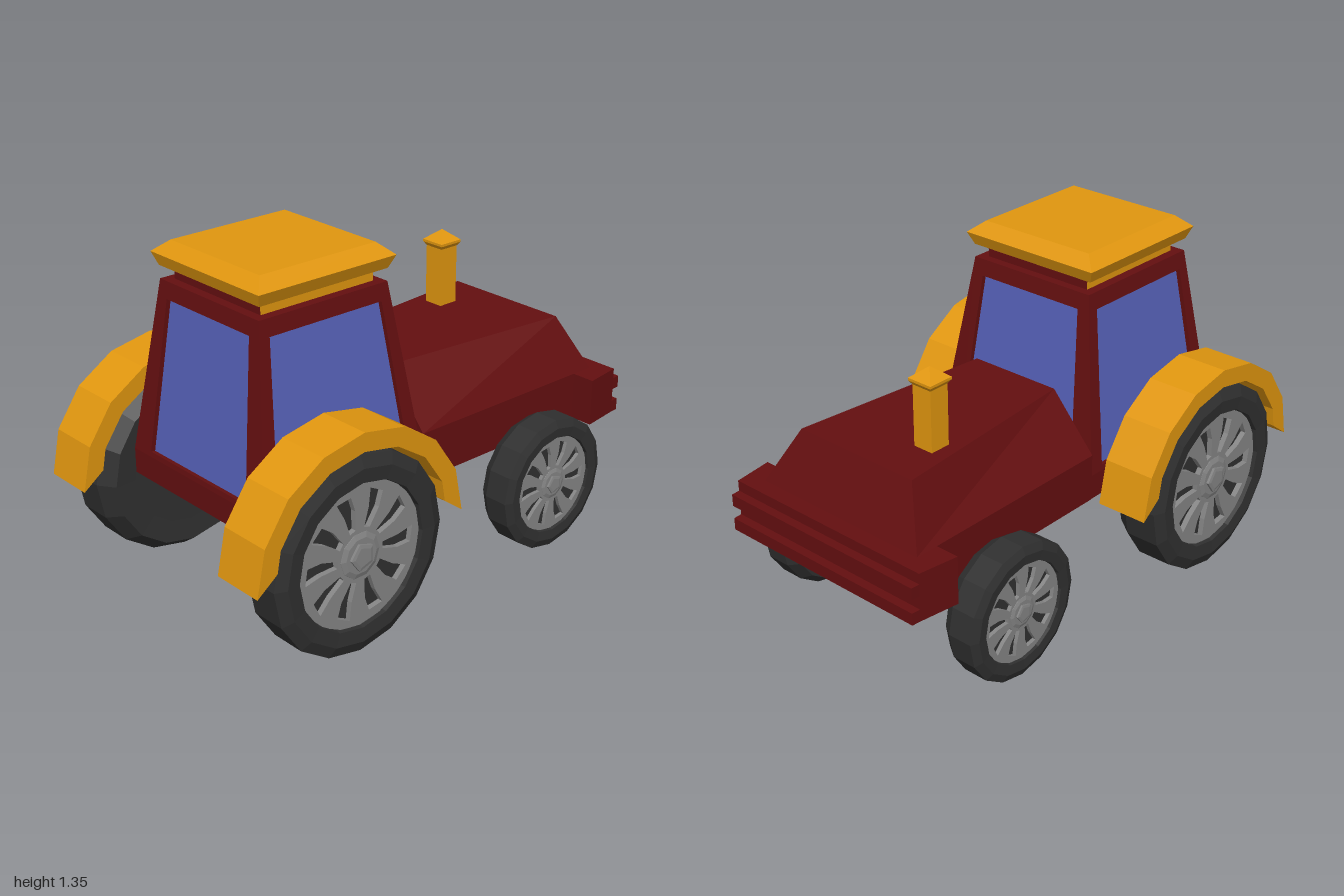
import * as THREE from 'three';

const mat = (name, color) => {
  const m = new THREE.MeshStandardMaterial({ color });
  m.name = name;
  return m;
};

// Faceted normals for low-poly parts
function flat(geo) {
  const g = geo.index ? geo.toNonIndexed() : geo;
  g.computeVertexNormals();
  return g;
}

// Geometry from a list of four-cornered faces
function quads(list) {
  const pos = [];
  for (const [a, b, c, d] of list) for (const p of [a, b, c, a, c, d]) pos.push(p.x, p.y, p.z);
  const g = new THREE.BufferGeometry();
  g.setAttribute('position', new THREE.Float32BufferAttribute(pos, 3));
  g.computeVertexNormals();
  return g;
}

// Ring of corners: half width at back (+z) and front (-z), and z limits
const ring = (y, wBack, zBack, wFront, zFront) => [
  new THREE.Vector3(-wBack, y, zBack), new THREE.Vector3(wBack, y, zBack),
  new THREE.Vector3(wFront, y, zFront), new THREE.Vector3(-wFront, y, zFront),
];

// Solid through stacked rings
function loft(rings) {
  const faces = [[...rings[0]].reverse(), rings[rings.length - 1]];
  for (let k = 0; k + 1 < rings.length; k++) {
    for (let i = 0; i < 4; i++) {
      const j = (i + 1) % 4;
      faces.push([rings[k][i], rings[k][j], rings[k + 1][j], rings[k + 1][i]]);
    }
  }
  return quads(faces);
}

export function createModel() {
  const red = mat('dark red paint', 0x640f10);
  const orange = mat('orange paint', 0xe0960f);
  const glass = mat('blue glass', 0x5560b6);
  const rubber = mat('black rubber', 0x303030);
  const metal = mat('grey metal', 0x858585);

  const root = new THREE.Group();
  root.name = 'tractor';
  const body = new THREE.Group();
  body.name = 'body';
  body.position.x = -0.005;
  root.add(body);
  const add = (name, geo, material, parent = body) => {
    const m = new THREE.Mesh(geo, material);
    m.name = name;
    parent.add(m);
    return m;
  };

  // Hood, wider on top towards the nose
  add('hood', loft([
    ring(0.43, 0.385, 0.03, 0.385, -0.9),
    ring(0.62, 0.385, 0.03, 0.385, -0.9),
    ring(0.835, 0.195, 0.03, 0.275, -0.805),
  ]), red);

  // Bumper with two lips
  add('bumper', loft([
    ring(0.43, 0.482, -0.805, 0.458, -0.965),
    ring(0.62, 0.482, -0.805, 0.458, -0.965),
  ]), red);
  for (const y of [0.43, 0.53]) {
    add('bumperLip', loft([
      ring(y, 0.458, -0.96, 0.455, -1),
      ring(y + 0.048, 0.458, -0.96, 0.455, -1),
    ]), red);
  }

  // Cab: base, four framed windows and a top plate
  const sill = ring(0.53, 0.383, 0.782, 0.383, 0.03);
  const head = ring(1.21, 0.28, 0.7, 0.28, 0.118);
  add('cabBase', loft([ring(0.43, 0.383, 0.782, 0.383, 0.03), sill]), red);
  add('cabTop', quads([head]), red);
  const sides = ['rear', 'left', 'front', 'right'];
  sides.forEach((side, i) => {
    const j = (i + 1) % 4;
    const outer = [sill[i], sill[j], head[j], head[i]];
    const at = (u, v) => sill[i].clone().lerp(sill[j], u)
      .lerp(head[i].clone().lerp(head[j], u), v);
    const [b, t] = i % 2 ? [0.085, 0.075] : [0.13, 0.095];
    const inner = [at(b, 0.03), at(1 - b, 0.03), at(1 - t, 0.905), at(t, 0.905)];
    const normal = outer[1].clone().sub(outer[0])
      .cross(outer[3].clone().sub(outer[0])).normalize();
    const pane = inner.map((p) => p.clone().addScaledVector(normal, -0.018));
    const frame = [];
    for (let k = 0; k < 4; k++) {
      const n = (k + 1) % 4;
      frame.push([outer[k], outer[n], inner[n], inner[k]], [inner[k], inner[n], pane[n], pane[k]]);
    }
    add(side + 'WindowFrame', quads(frame), red);
    add(side + 'Window', quads([pane]), glass);
  });

  // Roof on a two-coloured neck
  const neck = add('roofNeck', new THREE.BoxGeometry(0.485, 0.06, 0.51),
    [orange, orange, red, red, red, red]);
  neck.position.set(0, 1.235, 0.408);
  add('roof', loft([
    ring(1.26, 0.283, 0.7, 0.283, 0.12),
    ring(1.31, 0.305, 0.718, 0.305, 0.098),
    ring(1.355, 0.25, 0.668, 0.25, 0.148),
  ]), orange);

  // Exhaust pipe with a pointed cap
  const exhaust = new THREE.Group();
  exhaust.name = 'exhaust';
  exhaust.position.set(-0.155, 0, -0.585);
  body.add(exhaust);
  add('pipe', new THREE.BoxGeometry(0.085, 0.3, 0.085), orange, exhaust).position.y = 0.935;
  add('pipeCap', loft([
    ring(1.075, 0.043, 0.043, 0.043, -0.043),
    ring(1.09, 0.053, 0.053, 0.053, -0.053),
    ring(1.1, 0.053, 0.053, 0.053, -0.053),
    ring(1.142, 0.001, 0.001, 0.001, -0.001),
  ]), orange, exhaust);

  // Wheel parts, with the axle along x and the hub facing +x
  const turned = (points, n) => flat(
    new THREE.LatheGeometry(points.map(([r, x]) => new THREE.Vector2(r, x)), n).rotateZ(-Math.PI / 2));
  const tyreGeo = turned([[0, 0.005], [0.25, 0.005], [0.34, 0], [0.385, 0.065], [0.385, 0.205],
    [0.34, 0.225], [0.285, 0.22], [0.278, 0.18], [0, 0.18]], 16);
  const hubGeo = turned([[0.1, 0.18], [0.09, 0.205], [0.07, 0.212], [0, 0.212]], 10);
  const capGeo = turned([[0.055, 0.205], [0.055, 0.222], [0.04, 0.225], [0, 0.225]], 5);
  const disc = new THREE.Shape().absarc(0, 0, 0.28, 0, Math.PI * 2, false);
  for (let i = 0; i < 10; i++) {
    const a = (i / 10) * Math.PI * 2;
    const hole = [[0.105, -0.12], [0.18, -0.19], [0.24, -0.14], [0.25, 0.12], [0.18, 0.09], [0.105, 0.14]];
    disc.holes.push(new THREE.Path(hole.map(([r, d]) =>
      new THREE.Vector2(r * Math.cos(a + d), r * Math.sin(a + d)))));
  }
  const rimGeo = new THREE.ExtrudeGeometry(disc, { depth: 0.022, bevelEnabled: false, curveSegments: 10 })
    .rotateY(Math.PI / 2).translate(0.182, 0, 0);

  function wheel(name, side, y, z, size) {
    const g = new THREE.Group();
    g.name = name;
    add('tyre', tyreGeo, rubber, g);
    add('rim', rimGeo, metal, g);
    add('hub', hubGeo, metal, g);
    add('hubCap', capGeo, metal, g);
    g.position.set(side * 0.39, y, z);
    g.rotation.y = side > 0 ? 0 : Math.PI;
    g.scale.setScalar(size);
    body.add(g);
  }

  // Fender: half ring of eight straight segments
  const arc = (rz, ry, i) => {
    const a = (i / 8) * Math.PI;
    return new THREE.Vector2(rz * Math.cos(a), ry * Math.sin(a));
  };
  const outline = [];
  for (let i = 0; i <= 8; i++) outline.push(arc(0.472, 0.457, i));
  outline.push(new THREE.Vector2(-0.385, 0.065));
  for (let i = 7; i >= 1; i--) outline.push(arc(0.4, 0.385, i));
  outline.push(new THREE.Vector2(0.385, 0.065));
  const fenderGeo = new THREE.ExtrudeGeometry(new THREE.Shape(outline), { depth: 0.212, bevelEnabled: false })
    .translate(0, 0, -0.106).rotateY(Math.PI / 2);

  for (const side of [1, -1]) {
    const label = side > 0 ? 'left' : 'right';
    wheel(label + 'RearWheel', side, 0.39, 0.53, 1);
    wheel(label + 'FrontWheel', side, 0.28, -0.535, 0.705);
    add(label + 'Fender', fenderGeo, orange).position.set(side * 0.51, 0.408, 0.528);
  }
  return root;
}
